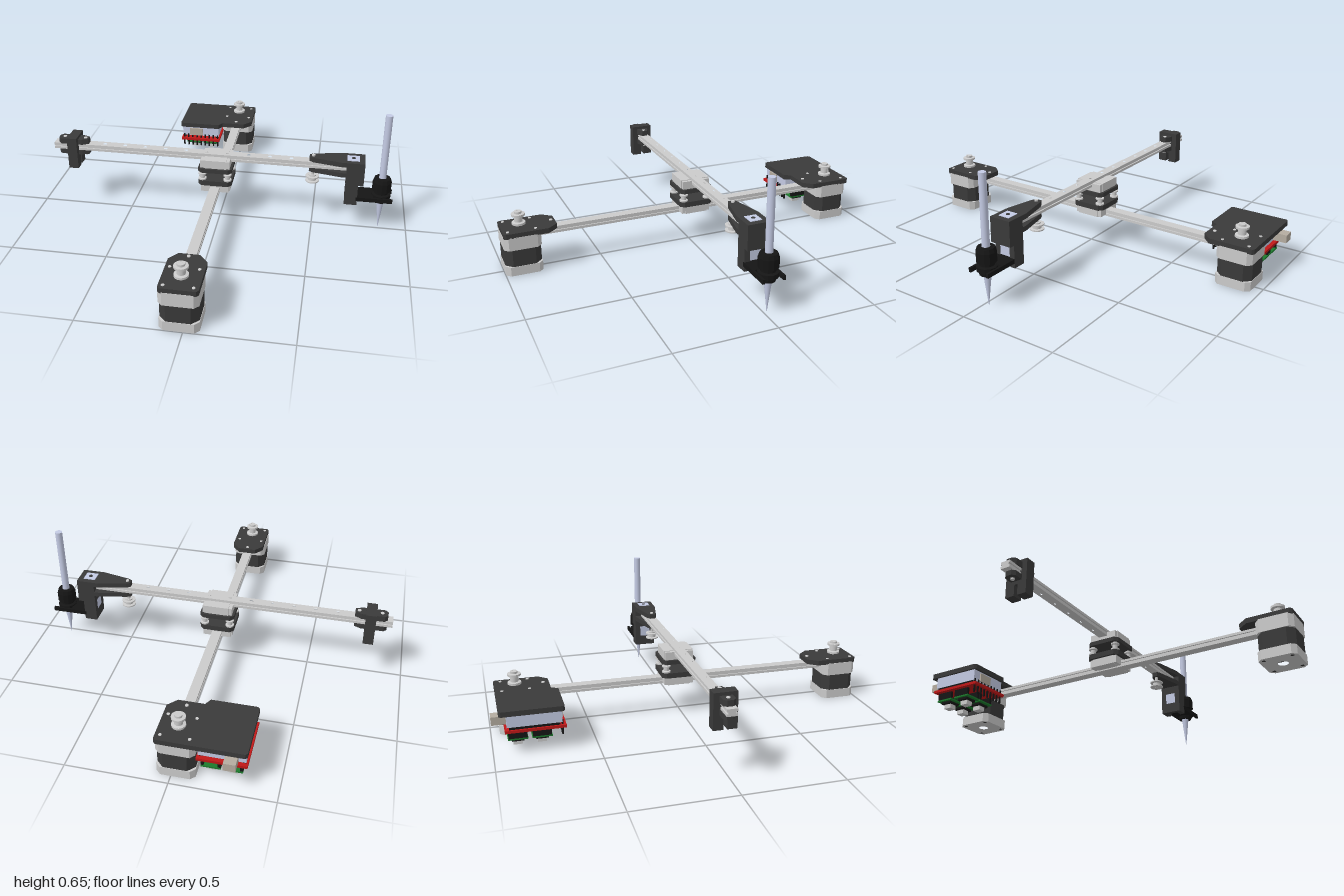
import * as THREE from 'three';

const GREY = 0xcccccc, BLACK = 0x3a3a3a, DARK = 0x151515, STEEL = 0xc4cbe4, RED = 0xc01818, GREEN = 0x1c7a2c;
const CX = -0.02, CZ = -0.02; // centre lines of the two rails
const mats = new Map();
function mat(color) {
  if (!mats.has(color)) mats.set(color, new THREE.MeshStandardMaterial({ color }));
  return mats.get(color);
}

export function createModel() {
  const root = new THREE.Group();
  const add = (name, geo, color, parent = root) => {
    const m = new THREE.Mesh(geo, mat(color));
    m.name = name;
    parent.add(m);
    return m;
  };
  const group = (name, x = 0, y = 0, z = 0) => {
    const g = new THREE.Group();
    g.name = name;
    g.position.set(x, y, z);
    root.add(g);
    return g;
  };
  // box from its limits
  const box = (name, color, [x0, x1], [y0, y1], [z0, z1], parent) => {
    const g = new THREE.BoxGeometry(x1 - x0, y1 - y0, z1 - z0);
    return add(name, g.translate((x0 + x1) / 2, (y0 + y1) / 2, (z0 + z1) / 2), color, parent);
  };
  // plan outline of [x, z] points raised from y0 to y1, with round holes [x, z, r]
  const slab = (name, color, pts, y0, y1, parent, holes = []) => {
    const s = new THREE.Shape(pts.map(([x, z]) => new THREE.Vector2(x, -z)));
    for (const [x, z, r] of holes) s.holes.push(new THREE.Path().absarc(x, -z, r, 0, Math.PI * 2, true));
    const g = new THREE.ExtrudeGeometry(s, { depth: y1 - y0, bevelEnabled: false, curveSegments: 8 });
    return add(name, g.rotateX(-Math.PI / 2).translate(0, y0, 0), color, parent);
  };
  const cyl = (name, color, x, z, r, y0, y1, parent, sides = 24, r0 = r) =>
    add(name, new THREE.CylinderGeometry(r, r0, y1 - y0, sides).translate(x, (y0 + y1) / 2, z), color, parent);
  // rectangle with chamfered corners
  const chamfered = (x0, x1, z0, z1, c) => [
    [x0 + c, z0], [x1 - c, z0], [x1, z0 + c], [x1, z1 - c],
    [x1 - c, z1], [x0 + c, z1], [x0, z1 - c], [x0, z0 + c]];
  // flanged pulley, turned from a profile
  const pulley = (name, x, z, y0, y1, r, parent) => {
    const h = y1 - y0;
    const pts = [[0.008, 0], [r, 0], [r, 0.16], [r * 0.6, 0.2], [r * 0.6, 0.62], [r, 0.66], [r, 0.82],
      [r * 0.55, 0.84], [r * 0.55, 1], [0.008, 1], [0.008, 0]].map(([a, b]) => new THREE.Vector2(a, b * h));
    const g = new THREE.LatheGeometry(pts, 24).toNonIndexed();
    g.computeVertexNormals();
    return add(name, g.translate(x, y0, z), GREY, parent);
  };

  // linear rails: waisted section in three layers
  const rail = (g, length, holes) => {
    [[0, 0.013, 0.025], [0.013, 0.022, 0.018], [0.022, 0.035, 0.025]].forEach(([y0, y1, w], i) =>
      slab('railLayer' + i, GREY, [[0, -w], [length, -w], [length, w], [0, w]], y0, y1, g, holes));
  };
  const holes = [];
  for (let x = 0.055; x < 1.56; x += 0.1125) holes.push([x, 0, 0.01]);
  rail(group('armRail', -0.917, 0.333, CZ), 1.581, holes);
  const baseRail = group('baseRail', CX, 0.164, 0.815);
  baseRail.rotation.y = Math.PI / 2;
  rail(baseRail, 1.582, []);

  // stepper motors with drive pulleys
  const motor = (name, z) => {
    const g = group(name, CX, 0, z), h = 0.093;
    slab('lowerCap', GREY, chamfered(-h, h, -h, h, 0.022), 0, 0.048, g, [[0, 0, 0.025]]);
    slab('stack', BLACK, chamfered(-0.091, 0.091, -0.091, 0.091, 0.034), 0.048, 0.136, g);
    slab('upperCap', GREY, chamfered(-h, h, -h, h, 0.022), 0.136, 0.204, g);
    for (const sx of [-1, 1]) for (const sz of [-1, 1]) {
      cyl('baseScrew', BLACK, sx * 0.068, sz * 0.068, 0.009, -0.0003, 0.005, g, 12);
      cyl('mountScrew', GREY, sx * 0.068, sz * 0.068, 0.008, 0.22, 0.229, g, 12);
    }
    cyl('shaft', GREY, 0, 0, 0.01, 0.2, 0.302, g, 16);
    pulley('drivePulley', 0, 0, 0.235, 0.303, 0.034, g);
  };
  motor('frontMotor', 0.905);
  motor('backMotor', -0.862);

  // motor mounting plates
  slab('frontMotorPlate', BLACK, [[-0.11, 0.985], [-0.1, 0.997], [0.063, 0.997], [0.073, 0.985], [0.073, 0.775],
    [0.03, 0.725], [-0.07, 0.725], [-0.11, 0.775]], 0.2, 0.226);
  slab('backMotorPlate', BLACK, [[-0.345, -0.965], [0.063, -0.965], [0.073, -0.955], [0.073, -0.735], [0.03, -0.69],
    [-0.1, -0.69], [-0.12, -0.655], [-0.345, -0.655], [-0.355, -0.665], [-0.355, -0.955]], 0.2, 0.226);
  for (const z of [0.745, -0.72]) cyl('railScrew', GREY, CX, z, 0.009, 0.22, 0.23, root, 12);

  // controller slung under the back plate
  const ctl = group('controller');
  box('mainBoard', STEEL, [-0.345, -0.122], [0.14, 0.2], [-0.93, -0.668], ctl);
  box('usbSocket', 0xb5aca0, [-0.31, -0.253], [0.145, 0.187], [-1, -0.9], ctl);
  box('powerSocket', 0xb5aca0, [-0.3, -0.22], [0.145, 0.19], [-0.67, -0.66], ctl);
  box('shieldBoard', RED, [-0.352, -0.115], [0.113, 0.127], [-0.94, -0.65], ctl);
  for (const x of [-0.335, -0.135]) box('headerStrip', DARK, [x - 0.008, x + 0.008], [0.127, 0.14], [-0.92, -0.68], ctl);
  for (const x of [-0.283, -0.181]) for (const z of [-0.88, -0.765]) {
    for (const s of [-1, 1]) box('driverHeader', DARK, [x + s * 0.04 - 0.007, x + s * 0.04 + 0.007], [0.075, 0.113], [z - 0.045, z + 0.045], ctl);
    box('driverBoard', GREEN, [x - 0.047, x + 0.047], [0.067, 0.075], [z - 0.048, z + 0.048], ctl);
    box('driverChip', DARK, [x - 0.035, x + 0.035], [0.055, 0.067], [z - 0.03, z + 0.03], ctl);
    box('heatSink', GREY, [x - 0.02, x + 0.02], [0.032, 0.055], [z - 0.022, z + 0.022], ctl);
  }
  for (let i = 0; i < 9; i++) box('pin', DARK, [-0.34 + i * 0.026, -0.332 + i * 0.026], [0.075, 0.15], [-0.672, -0.664], ctl);

  // crossing carriages: two rail blocks, two plates and corner idlers
  const cross = group('carriage', CX, 0, CZ);
  const block = (name, y0, y1, web0, web1, alongX) => {
    const g = new THREE.Group();
    g.name = name;
    if (!alongX) g.rotation.y = Math.PI / 2;
    cross.add(g);
    for (const s of [[-0.078, -0.026], [0.026, 0.078]]) {
      box('blockSide', GREY, [-0.06, 0.06], [y0, y1], s, g);
      for (const e of [[-0.078, -0.06], [0.06, 0.078]])
        box('endCap', GREY, e, [y0 + 0.002, y1 - 0.003], [s[0] * 0.95, s[1] * 0.95], g);
    }
    box('blockWeb', GREY, [-0.078, 0.078], [web0, web1], [-0.03, 0.03], g);
  };
  block('upperBlock', 0.308, 0.355, 0.308, 0.332, true);
  block('lowerBlock', 0.17, 0.215, 0.2, 0.215, false);
  const outline = chamfered(-0.09, 0.09, -0.09, 0.09, 0.02);
  slab('lowerPlate', BLACK, outline, 0.213, 0.24, cross);
  slab('upperPlate', BLACK, outline, 0.288, 0.31, cross);
  for (const sx of [-1, 1]) for (const sz of [-1, 1]) {
    pulley('idler', sx * 0.067, sz * 0.067, 0.242, 0.287, 0.022, cross);
    cyl('idlerBolt', GREY, sx * 0.067, sz * 0.067, 0.008, 0.21, 0.315, cross, 12);
  }

  // clamp on the far end of the arm
  const clamp = group('endClamp');
  const strip = [[-0.875, -0.05], [-0.76, -0.05], [-0.725, -0.035], [-0.725, -0.005], [-0.76, 0.01], [-0.875, 0.01], [-0.89, -0.005], [-0.89, -0.035]];
  slab('clampTop', BLACK, strip, 0.367, 0.397, clamp);
  slab('clampBottom', BLACK, strip, 0.308, 0.333, clamp);
  box('clampPost', BLACK, [-0.833, -0.78], [0.29, 0.412], [-0.078, 0.036], clamp);
  for (const z of [[-0.078, -0.03], [-0.012, 0.036]]) box('clampLeg', BLACK, [-0.833, -0.78], [0.235, 0.29], z, clamp);
  for (const x of [-0.86, -0.745]) cyl('clampScrew', GREY, x, CZ, 0.01, 0.3, 0.4, clamp, 12);

  // tool head: tapered mount around the arm end
  const head = group('toolHead');
  const taper = [[0.47, -0.035], [0.49, -0.045], [0.64, -0.078], [0.757, -0.078], [0.757, 0.036], [0.64, 0.036], [0.49, 0.005], [0.47, -0.005]];
  slab('mountTop', BLACK, taper, 0.367, 0.393, head);
  slab('mountBottom', BLACK, taper.map(([x, z]) => [Math.min(x, 0.7), z]), 0.308, 0.333, head);
  box('mountCore', BLACK, [0.664, 0.757], [0.265, 0.367], [-0.078, 0.036], head);
  for (const z of [[-0.078, -0.05], [0.008, 0.036]]) box('postSide', BLACK, [0.664, 0.73], [0.15, 0.265], z, head);
  box('postBack', BLACK, [0.664, 0.69], [0.15, 0.205], [-0.05, 0.008], head);
  box('liftServo', STEEL, [0.665, 0.728], [0.2, 0.396], [-0.05, 0.01], head);
  cyl('servoScrew', BLACK, 0.697, CZ, 0.01, 0.39, 0.398, head, 12);
  cyl('beltIdlerBolt', GREY, 0.49, CZ, 0.009, 0.245, 0.4, head, 12);
  pulley('beltIdler', 0.49, CZ, 0.246, 0.285, 0.036, head);

  // pen holder and pen
  const pen = group('penHolder', 0.853, 0, CZ);
  box('holderArm', DARK, [-0.165, -0.04], [0.175, 0.197], [-0.055, 0.055], pen);
  for (const z of [[-0.058, -0.046], [0.046, 0.058]]) box('holderFork', DARK, [-0.13, 0.058], [0.175, 0.197], z, pen);
  const sleeve = [[0.02, 0.158], [0.036, 0.158], [0.04, 0.175], [0.05, 0.18], [0.05, 0.203], [0.036, 0.207], [0.036, 0.22],
    [0.049, 0.225], [0.049, 0.275], [0.042, 0.295], [0.02, 0.297]].map(([r, y]) => new THREE.Vector2(r, y));
  const sleeveGeo = new THREE.LatheGeometry(sleeve, 12).toNonIndexed();
  sleeveGeo.computeVertexNormals();
  add('sleeve', sleeveGeo, DARK, pen);
  cyl('penBarrel', STEEL, 0, 0, 0.0185, 0.155, 0.65, pen);
  cyl('penTip', STEEL, 0, 0, 0.0195, 0, 0.158, pen, 24, 0.001);
  return root;
}
